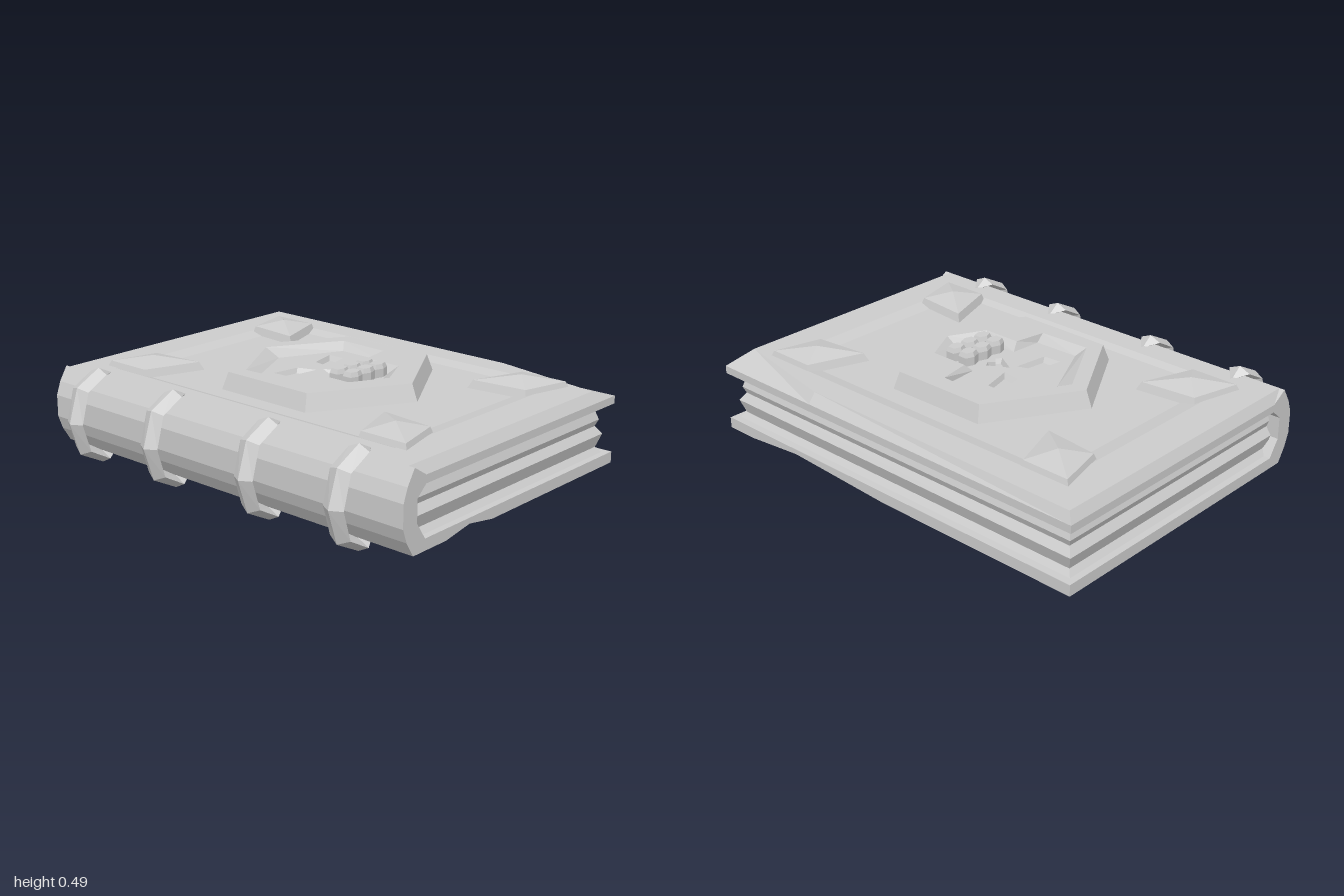
import * as THREE from 'three';

const stone = new THREE.MeshStandardMaterial({ color: 0xcccccc, side: THREE.DoubleSide });
stone.name = 'pale grey';

const V2 = (p) => new THREE.Vector2(p[0], p[1]);
const atY = (outline, y) => outline.map(([x, z]) => [x, y, z]);
const shrink = (outline, s, cx, cz) => outline.map(([x, z]) => [cx + (x - cx) * s, cz + (z - cz) * s]);

function mesh(name, geometry) {
  const m = new THREE.Mesh(geometry, stone);
  m.name = name;
  return m;
}

// Flat-faced skin through horizontal rings (clockwise seen from below), with optional caps
function loft(rings, { capFirst = false, capLast = false } = {}) {
  const pos = [];
  const n = rings[0].length;
  for (let r = 0; r < rings.length - 1; r++) {
    for (let i = 0; i < n; i++) {
      const j = (i + 1) % n;
      const [a, b, c, d] = [rings[r][i], rings[r][j], rings[r + 1][j], rings[r + 1][i]];
      pos.push(...a, ...c, ...b, ...a, ...d, ...c);
    }
  }
  const cap = (ring, up) => {
    const tris = THREE.ShapeUtils.triangulateShape(ring.map((p) => new THREE.Vector2(p[0], p[2])), []);
    for (const [a, b, c] of tris) {
      const [p, q, s] = [ring[a], ring[b], ring[c]];
      const normalUp = (q[2] - p[2]) * (s[0] - p[0]) - (q[0] - p[0]) * (s[2] - p[2]) > 0;
      pos.push(...p, ...(normalUp === up ? [...q, ...s] : [...s, ...q]));
    }
  };
  if (capFirst) cap(rings[0], false);
  if (capLast) cap(rings[rings.length - 1], true);
  const g = new THREE.BufferGeometry();
  g.setAttribute('position', new THREE.Float32BufferAttribute(pos, 3));
  g.computeVertexNormals();
  return g;
}

// Horizontal plate with holes
function plate(y, outline, holes = []) {
  const flip = (o) => o.map(([x, z]) => new THREE.Vector2(x, -z));
  const shape = new THREE.Shape(flip(outline));
  holes.forEach((h) => shape.holes.push(new THREE.Path(flip(h))));
  return new THREE.ShapeGeometry(shape).rotateX(-Math.PI / 2).translate(0, y, 0);
}

const rect = (x0, x1, z0, z1) => [[x0, z0], [x1, z0], [x1, z1], [x0, z1]];

function addCovers(group) {
  // Front cover: bevelled, worn at one corner, with a shallow sunken panel
  const rim = [[-0.6, -1], [0.78, -1], [0.78, 0.44], [0.78, 1], [-0.6, 1]];
  const top = [[-0.6, -0.975], [0.76, -0.975], [0.745, 0.44], [0.64, 0.97], [-0.6, 0.97]];
  const panel = [[-0.48, -0.81], [0.63, -0.81], [0.63, 0.44], [0.63, 0.81], [-0.48, 0.81]];
  const sunk = [[-0.44, -0.735], [0.57, -0.735], [0.57, 0.44], [0.57, 0.74], [-0.44, 0.74]];
  group.add(mesh('frontCover', loft(
    [atY(rim, 0.325), atY(rim, 0.36), atY(top, 0.405), atY(panel, 0.405), atY(sunk, 0.392)],
    { capFirst: true, capLast: true })));

  // Back cover with two chipped edges on the underside
  const base = [[-0.6, -1], [0.78, -1], [0.78, 0], [0.78, 0.55], [0.78, 0.85], [0.78, 1],
    [-0.1, 1], [-0.25, 1], [-0.4, 1], [-0.6, 1]];
  const lower = atY(base, 0.055);
  lower[3] = [0.78, 0.082, 0.55];
  lower[7] = [-0.25, 0.08, 1];
  group.add(mesh('backCover', loft([lower, atY(base, 0.105)], { capLast: true })));
  const under = base.slice();
  under[3] = [0.6, 0.55];
  under[7] = [-0.25, 0.75];
  group.add(mesh('backCoverUnderside', plate(0.055, under).scale(1, 1, 1)));
  for (const i of [3, 7]) {
    const inner = [under[i][0], 0.055, under[i][1]];
    const g = new THREE.BufferGeometry();
    g.setAttribute('position', new THREE.Float32BufferAttribute(
      [...inner, ...lower[i - 1], ...lower[i], ...inner, ...lower[i], ...lower[i + 1]], 3));
    g.computeVertexNormals();
    group.add(mesh('edgeChip', g));
  }

  // Spine
  const profile = [[-0.6, 0.405], [-0.64, 0.34], [-0.662, 0.28], [-0.662, 0.18], [-0.64, 0.12], [-0.6, 0.055],
    [-0.53, 0.055], [-0.53, 0.105], [-0.58, 0.18], [-0.58, 0.28], [-0.53, 0.325], [-0.53, 0.36]];
  group.add(mesh('spine', new THREE.ExtrudeGeometry(new THREE.Shape(profile.map(V2)),
    { depth: 2, bevelEnabled: false }).translate(0, 0, -1)));

  // Page block with rippled edges
  const levels = [[0.105, 0.745], [0.13, 0.725], [0.19, 0.745], [0.225, 0.72], [0.255, 0.732], [0.305, 0.715], [0.325, 0.75]];
  group.add(mesh('pages', loft(levels.map(([y, x]) => atY(rect(-0.57, x, -x - 0.225, x + 0.225), y)))));
}

// Ridged band curling round the spine
function bandGeometry() {
  const outer = [[-0.535, 0.405], [-0.605, 0.44], [-0.73, 0.375], [-0.78, 0.22], [-0.73, 0.068], [-0.605, 0.003], [-0.51, 0.055]];
  const inner = [[-0.55, 0.395], [-0.605, 0.395], [-0.69, 0.345], [-0.72, 0.22], [-0.69, 0.11], [-0.605, 0.057], [-0.53, 0.06]];
  const rings = outer.map(([ox, oy], i) => {
    const [ix, iy] = inner[i];
    const tip = i === 0 || i === outer.length - 1;
    const [mx, my, w] = [(ox + ix) / 2, (oy + iy) / 2, tip ? 0.004 : 0.052];
    return [[ox, oy, 0], [mx, my, w], [ix, iy, 0], [mx, my, -w]];
  });
  return loft(rings);
}

function addEmblem(group) {
  const cx = 0.06;
  const mirror = (half) => [...half, ...half.slice(1, -1).reverse().map(([x, z]) => [-x, z])]
    .map(([x, z]) => [x + cx, z]);

  // Hexagonal frame with a skull-shaped recess
  const hex = mirror([[0, -0.5], [0.42, -0.25], [0.424, 0.24], [0, 0.49]]);
  const hexTop = shrink(hex, 0.935, cx, 0);
  const mouthOfRecess = mirror([[0, -0.39], [0.32, -0.2], [0.31, 0.045], [0.165, 0.07], [0.165, 0.25], [0, 0.335]]);
  const face = mirror([[0, -0.31], [0.28, -0.17], [0.275, 0.045], [0.13, 0.055], [0.135, 0.215], [0, 0.28]]);
  group.add(mesh('hexagonSides', loft([atY(hex, 0.385), atY(hexTop, 0.467)])));
  group.add(mesh('hexagonFrame', plate(0.467, hexTop, [mouthOfRecess])));
  group.add(mesh('recessWall', loft([atY(mouthOfRecess, 0.467), atY(face, 0.432)])));

  // Skull face with sunken eyes and nose
  const features = {
    rightEye: [[-0.13, -0.16], [0, -0.14], [0.03, -0.055], [-0.125, -0.075]],
    leftEye: [[0.12, -0.14], [0.25, -0.172], [0.25, -0.092], [0.108, -0.055]],
    nose: [[0.06, -0.04], [0.112, 0.05], [0.085, 0.068], [0.06, 0.045], [0.035, 0.068], [0.01, 0.05]],
  };
  group.add(mesh('skullFace', plate(0.432, face, Object.values(features))));
  for (const [name, o] of Object.entries(features)) {
    const mx = o.reduce((s, p) => s + p[0], 0) / o.length;
    const mz = o.reduce((s, p) => s + p[1], 0) / o.length;
    group.add(mesh(name, loft([atY(o, 0.432), atY(shrink(o, 0.75, mx, mz), 0.41)], { capLast: true })));
  }

  // Two rows of raised teeth
  for (const side of [-1, 1]) {
    for (const dx of [-0.082, 0, 0.082]) {
      const x = cx + dx;
      const z = 0.163 + side * 0.037;
      const o = [[-0.039, -0.022], [0, -0.036], [0.039, -0.022], [0.039, 0.022], [0, 0.034], [-0.039, 0.022]]
        .map(([px, pz]) => [x + px, z + pz]);
      group.add(mesh('tooth', loft([atY(o, 0.425), atY(o, 0.47), atY(shrink(o, 0.78, x, z), 0.49)], { capLast: true })));
    }
  }
}

export function createModel() {
  const book = new THREE.Group();
  book.name = 'book';
  addCovers(book);
  addEmblem(book);

  // Spine bands
  const band = bandGeometry();
  for (const z of [-0.768, -0.287, 0.265, 0.737]) {
    const b = mesh('spineBand', band);
    b.position.z = z;
    book.add(b);
  }

  // Pyramid studs near the four corners
  for (const sx of [-1, 1]) {
    for (const sz of [-1, 1]) {
      const place = ([x, z]) => [0.08 + sx * x, sz * z];
      let o = [[0.56, 0.868], [0.31, 0.805], [0.28, 0.517], [0.56, 0.615]].map(place);
      if (sx * sz < 0) o = o.reverse();
      const [ax, az] = place([0.425, 0.7]);
      book.add(mesh('cornerStud', loft(
        [atY(o, 0.385), atY(shrink(o, 0.88, ax, az), 0.428), atY(shrink(o, 0.002, ax, az), 0.457)])));
    }
  }
  return book;
}
